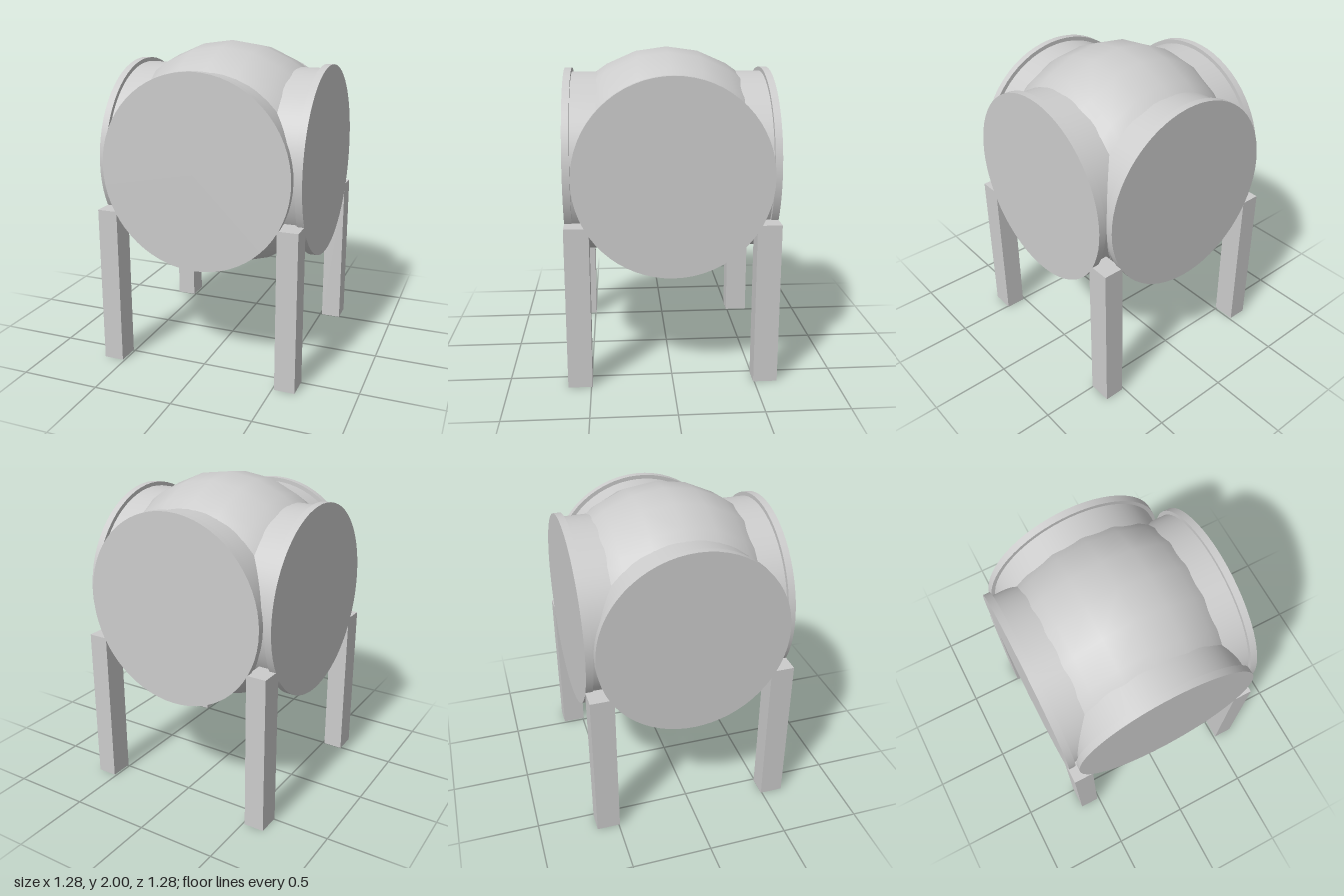
import * as THREE from 'three';

const CENTER_Y = 1.279;
const SPHERE_R = 0.721;
const PIPE_R = 0.567;
const FLANGE_R = 0.592;
const HALF = 0.64;
const CUT = 0.442;

// Square patch of the sphere, above (up = 1) or below (up = -1) the necks
function spherePatch(cells, up) {
  const step = (Math.PI * 2) / 23;
  const geometry = new THREE.PlaneGeometry(cells, cells, cells, cells).rotateX((-up * Math.PI) / 2);
  const { position, normal } = geometry.attributes;
  const place = (k) => THREE.MathUtils.clamp(SPHERE_R * Math.sin(k * step), -CUT, CUT);
  for (let i = 0; i < position.count; i++) {
    const x = place(position.getX(i));
    const z = place(position.getZ(i));
    const y = up * Math.sqrt(SPHERE_R ** 2 - x * x - z * z);
    position.setXYZ(i, x, y, z);
    normal.setXYZ(i, x / SPHERE_R, y / SPHERE_R, z / SPHERE_R);
  }
  return geometry;
}

// Open pipe along z whose inner end is mitred against its neighbours
function mitredNeck() {
  const geometry = new THREE.CylinderGeometry(PIPE_R, PIPE_R, 2, 64, 1, true).rotateX(Math.PI / 2);
  const { position } = geometry.attributes;
  for (let i = 0; i < position.count; i++) {
    const inner = Math.max(CUT - 0.02, Math.abs(position.getX(i)));
    position.setZ(i, position.getZ(i) > 0 ? 0.6 : inner);
  }
  return geometry;
}

export function createModel() {
  const model = new THREE.Group();
  model.name = 'sphericalVessel';
  const material = new THREE.MeshStandardMaterial({ color: 0xcccccc });
  const thinMaterial = new THREE.MeshStandardMaterial({ color: 0xcccccc, side: THREE.DoubleSide });

  const add = (name, geometry, x, y, z, mat = material) => {
    const mesh = new THREE.Mesh(geometry, mat);
    mesh.name = name;
    mesh.position.set(x, y, z);
    model.add(mesh);
    return mesh;
  };

  // Domed top and bottom of the spherical body
  add('topDome', spherePatch(6, 1), 0, CENTER_Y, 0, thinMaterial);
  add('bottomDome', spherePatch(5, -1), 0, CENTER_Y, 0, thinMaterial);

  // Four short pipe necks, each closed by a flat round cover
  const neckGeometry = mitredNeck();
  const coverGeometry = new THREE.CylinderGeometry(FLANGE_R, FLANGE_R, 0.044, 64).rotateX(Math.PI / 2);
  ['front', 'left', 'back', 'right'].forEach((side, turn) => {
    const angle = (turn * Math.PI) / 2;
    const reach = HALF - 0.022;
    add(side + 'Neck', neckGeometry, 0, CENTER_Y, 0, thinMaterial).rotation.y = angle;
    add(side + 'Cover', coverGeometry, Math.sin(angle) * reach, CENTER_Y, Math.cos(angle) * reach).rotation.y = angle;
  });

  // Square legs at the four corners
  const legW = 0.127;
  const legD = 0.147;
  const legGeometry = new THREE.BoxGeometry(legW, 1, legD);
  for (const x of [-1, 1]) {
    for (const z of [-1, 1]) {
      const name = (z > 0 ? 'front' : 'back') + (x > 0 ? 'Left' : 'Right') + 'Leg';
      add(name, legGeometry, x * (HALF - legW / 2), 0.5, z * (HALF - legD / 2));
    }
  }

  return model;
}
